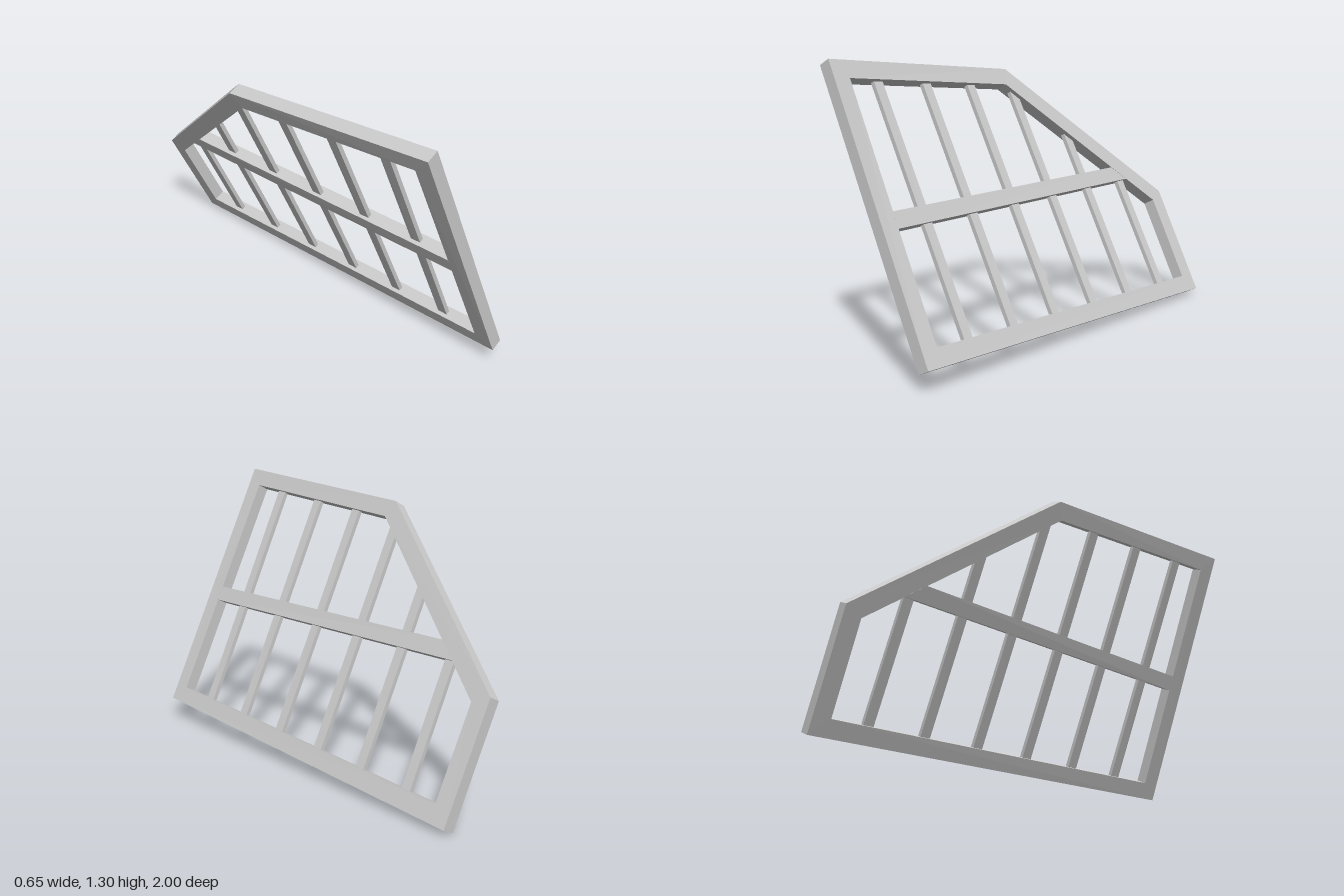
import * as THREE from 'three';

const DEPTH = 0.061;
const NORMAL = new THREE.Vector3(0.894, 0.447, -0.029).normalize();

// x of the leaning outer face, very slightly twisted along its length
const faceX = (y, z) => 0.342 - 0.489 * y + 0.032 * z + 0.015 * y * z - 0.0116 * y * (1 - z * z);

// Prism from a [z, y] outline on the leaning face, sunk below it by inset
function panelPart(name, outline, hole, inset, thickness, material) {
  const points = list => list.map(([z, y]) => new THREE.Vector2(-z, y));
  const shape = new THREE.Shape(points(outline));
  if (hole) shape.holes.push(new THREE.Path(points(hole)));
  const geometry = new THREE.ExtrudeGeometry(shape, { depth: thickness, bevelEnabled: false });
  const pos = geometry.attributes.position;
  const p = new THREE.Vector3();
  for (let i = 0; i < pos.count; i++) {
    const z = -pos.getX(i), y = pos.getY(i);
    const offset = pos.getZ(i) - thickness - inset;
    p.set(faceX(y, z), y, z).addScaledVector(NORMAL, offset);
    pos.setXYZ(i, p.x, p.y, p.z);
  }
  geometry.computeVertexNormals();
  const mesh = new THREE.Mesh(geometry, material);
  mesh.name = name;
  return mesh;
}

export function createModel() {
  const group = new THREE.Group();
  group.name = 'leaningWindow';
  const material = new THREE.MeshStandardMaterial({ color: 0xcccccc, flatShading: true });

  // Five-sided outer frame
  const outer = [[1, 0.104], [-1, 0.028], [-1, 0.533], [-0.1, 1.222], [0.995, 1.305]];
  const inner = [[0.917, 0.174], [-0.915, 0.106], [-0.915, 0.497], [-0.065, 1.15], [0.912, 1.224]];
  group.add(panelPart('frame', outer, inner, 0, DEPTH, material));

  // Horizontal rail, cut to meet the sloping side
  const rail = [[0.915, 0.627], [-0.749, 0.627], [-0.658, 0.695], [0.914, 0.695]];
  group.add(panelPart('middleRail', rail, null, 0, DEPTH, material));

  // Thin upright bars, ending inside the frame
  const bars = new THREE.Group();
  bars.name = 'bars';
  for (let i = 0; i < 6; i++) {
    const z = 0.712 - i * 0.2885;
    const bottom = 0.11 + 0.035 * z;
    const top = Math.min(1.195 + 0.075 * z, 1.25 + 0.767 * z);
    const lean = 0.023, half = 0.025;
    const zb = z + lean * bottom, zt = z + lean * top;
    const outline = [[zb + half, bottom], [zb - half, bottom], [zt - half, top], [zt + half, top]];
    bars.add(panelPart('bar' + (i + 1), outline, null, 0.02, 0.021, material));
  }
  group.add(bars);
  return group;
}
